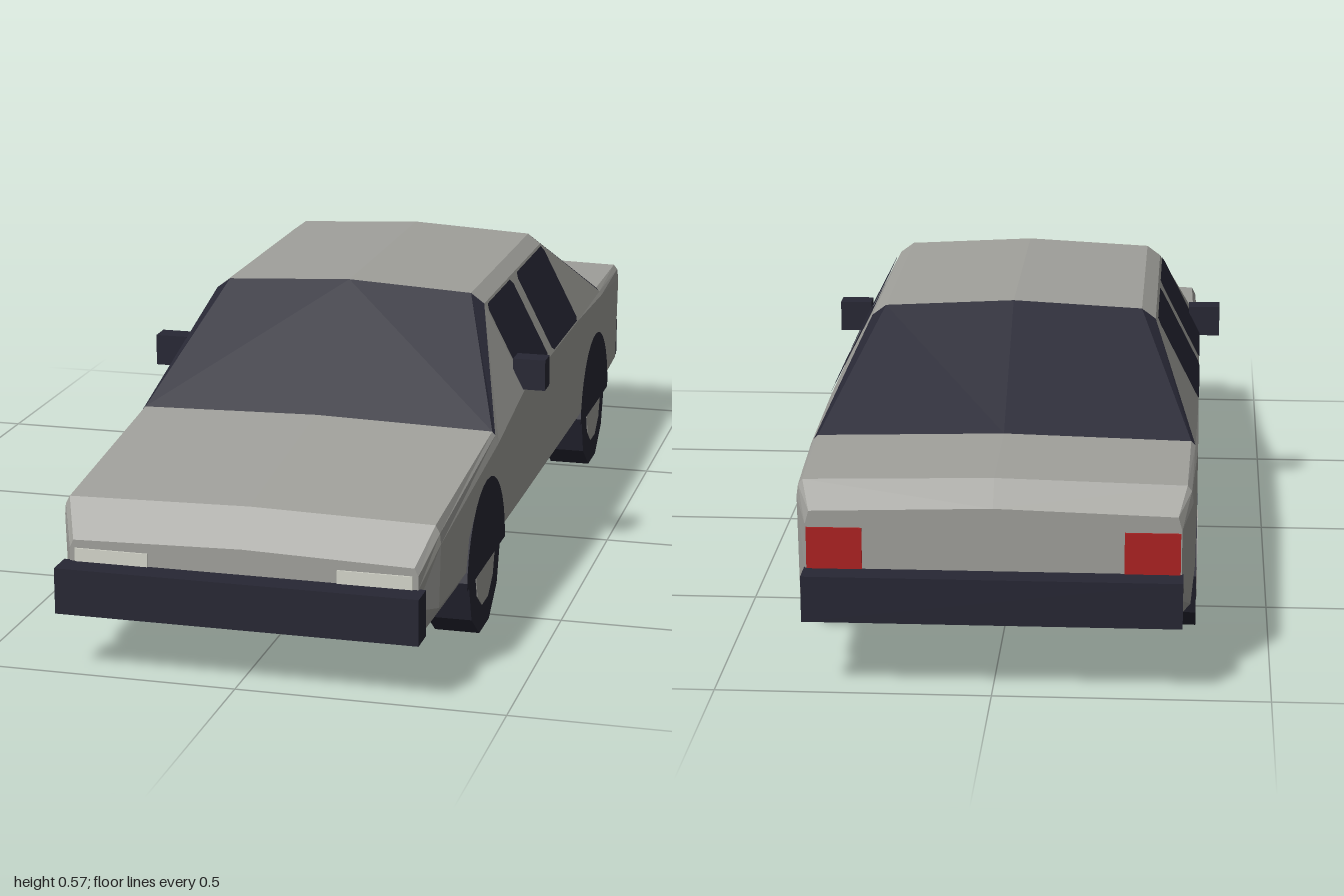
import * as THREE from 'three';

const mat = (name, color) => Object.assign(new THREE.MeshStandardMaterial({ color }), { name });

// Stations front to back; each lists half-section points [x, y] from floor centre up to top centre
const STATIONS = [
  { z: 0.95, p: [[0, 0.12], [0.30, 0.12], [0.322, 0.16], [0.327, 0.2], [0.327, 0.225], [0.32, 0.24], [0.248]] },
  { z: 0.895, p: [[0, 0.097], [0.32, 0.097], [0.352, 0.15], [0.355, 0.27], [0.353, 0.29], [0.345, 0.305], [0.312]] },
  { z: 0.45, p: [[0, 0.097], [0.32, 0.097], [0.362, 0.15], [0.363, 0.33], [0.356, 0.345], [0.35, 0.352], [0.36]] },
  { z: 0.2, p: [[0, 0.097], [0.32, 0.097], [0.363, 0.15], [0.363, 0.372], [0.277, 0.54], [0.25, 0.56], [0.573]] },
  { z: -0.36, p: [[0, 0.097], [0.32, 0.097], [0.363, 0.15], [0.363, 0.372], [0.277, 0.54], [0.25, 0.56], [0.573]] },
  { z: -0.65, p: [[0, 0.097], [0.32, 0.097], [0.362, 0.15], [0.363, 0.362], [0.358, 0.37], [0.35, 0.378], [0.387]] },
  { z: -0.91, p: [[0, 0.11], [0.32, 0.11], [0.353, 0.15], [0.356, 0.34], [0.353, 0.362], [0.345, 0.372], [0.38]] },
  { z: -0.95, p: [[0, 0.15], [0.32, 0.15], [0.335, 0.17], [0.337, 0.2], [0.337, 0.3], [0.33, 0.325], [0.335]] },
];

function shellParts() {
  const tris = { body: [], floor: [], windshield: [], rearWindow: [] };
  const pt = (s, i) => {
    const q = STATIONS[s].p[i];
    return q.length === 1 ? [0, q[0], STATIONS[s].z] : [q[0], q[1], STATIONS[s].z];
  };
  // Adds a triangle and its mirror image
  const tri = (part, a, b, c) => {
    tris[part].push(...a, ...b, ...c);
    for (const v of [a, c, b]) tris[part].push(-v[0], v[1], v[2]);
  };
  const last = STATIONS.length - 1;
  for (let s = 0; s < last; s++) {
    for (let i = 0; i < 6; i++) {
      const part = i === 0 ? 'floor' : i >= 4 && s === 2 ? 'windshield' : i >= 4 && s === 4 ? 'rearWindow' : 'body';
      const [a, b, c, d] = [pt(s, i), pt(s + 1, i), pt(s + 1, i + 1), pt(s, i + 1)];
      tri(part, a, b, c);
      tri(part, a, c, d);
    }
  }
  // Nose and tail caps
  for (let i = 1; i < 6; i++) {
    tri('body', pt(0, 0), pt(0, i), pt(0, i + 1));
    tri('body', pt(last, 0), pt(last, i + 1), pt(last, i));
  }
  return tris;
}

// Side window with clipped corners, laid on the sloping cabin side
function windowGeometry(zFront, zBack) {
  const v = new THREE.Vector3(-0.086, 0.168, 0);
  const h = v.length() - 0.004, w = zFront - zBack, c = 0.012;
  v.normalize();
  const shape = new THREE.Shape([
    [c, 0.004], [w - c, 0.004], [w, c], [w, h - c], [w - c, h], [c, h], [0, h - c], [0, c],
  ].map(([x, y]) => new THREE.Vector2(x, y)));
  const n = new THREE.Vector3(v.y, -v.x, 0);
  const m = new THREE.Matrix4().makeBasis(new THREE.Vector3(0, 0, -1), v, n);
  m.setPosition(0.363 + n.x * 0.003, 0.372 + n.y * 0.003, zFront);
  return new THREE.ShapeGeometry(shape).applyMatrix4(m);
}

// Ten-sided disc with a flat facet at the bottom, axis along x
function disc(radius, width) {
  const g = new THREE.CylinderGeometry(radius, radius, width, 10).toNonIndexed();
  g.rotateY(Math.PI / 10).rotateZ(-Math.PI / 2);
  // Turn until a facet rests on the ground
  const pos = g.attributes.position;
  let low = 0;
  for (let i = 0; i < pos.count; i++) low = Math.min(low, pos.getY(i));
  if (low < -radius * 0.99) g.rotateX(Math.PI / 10);
  g.computeVertexNormals();
  return g;
}

export function createModel() {
  const paint = mat('bodyGrey', 0xa0a09b);
  const dark = mat('darkTrim', 0x272734);
  const lamp = mat('headlightWhite', 0xd4d5ca);
  const red = mat('taillightRed', 0xae2222);
  const model = new THREE.Group();
  model.name = 'car';

  const add = (parent, name, geometry, material, x = 0, y = 0, z = 0) => {
    const mesh = new THREE.Mesh(geometry, material);
    mesh.name = name;
    mesh.position.set(x, y, z);
    parent.add(mesh);
    return mesh;
  };
  const box = (parent, name, material, [x0, x1], [y0, y1], [z0, z1]) =>
    add(parent, name, new THREE.BoxGeometry(x1 - x0, y1 - y0, z1 - z0), material,
      (x0 + x1) / 2, (y0 + y1) / 2, (z0 + z1) / 2);

  // Body shell, floor and glass
  for (const [name, list] of Object.entries(shellParts())) {
    const g = new THREE.BufferGeometry();
    g.setAttribute('position', new THREE.Float32BufferAttribute(list, 3));
    g.computeVertexNormals();
    add(model, name, g, name === 'body' ? paint : dark);
  }

  // Bumpers
  box(model, 'frontBumper', dark, [-0.34, 0.34], [0.113, 0.2], [0.945, 1]);
  box(model, 'rearBumper', dark, [-0.34, 0.34], [0.133, 0.218], [-1, -0.945]);

  // Everything on the left side, mirrored for the right
  const left = new THREE.Group();
  left.name = 'leftSide';
  add(left, 'frontSideWindow', windowGeometry(0.2, -0.035), dark);
  add(left, 'rearSideWindow', windowGeometry(-0.08, -0.355), dark);
  box(left, 'mirror', dark, [0.34, 0.405], [0.373, 0.435], [0.17, 0.215]);
  box(left, 'headlight', lamp, [0.178, 0.317], [0.18, 0.225], [0.946, 0.953]);
  box(left, 'taillight', red, [0.235, 0.335], [0.2, 0.295], [-0.953, -0.946]);
  for (const [end, z] of [['front', 0.565], ['rear', -0.565]]) {
    add(left, end + 'Wheel', disc(0.137, 0.086), dark, 0.32, 0.13, z);
    add(left, end + 'Hub', disc(0.083, 0.006), paint, 0.3615, 0.13, z);
    const arch = new THREE.CircleGeometry(0.166, 16, 0, Math.PI).rotateY(Math.PI / 2);
    add(left, end + 'WheelArch', arch, dark, 0.3665, 0.126, z);
  }
  const right = left.clone();
  right.name = 'rightSide';
  right.scale.x = -1;
  model.add(left, right);

  return model;
}
